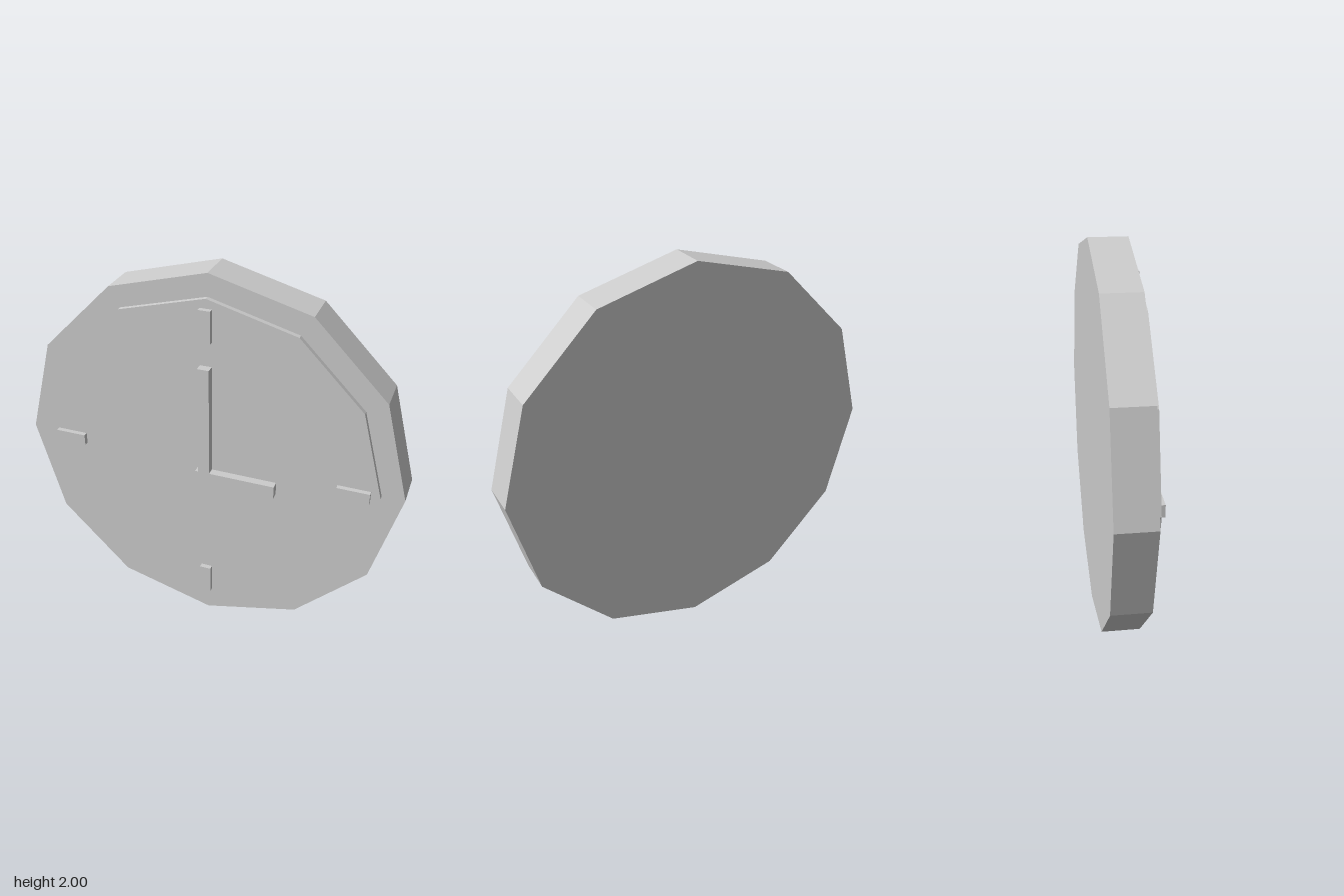
import * as THREE from 'three';

export function createModel() {
  const clock = new THREE.Group();
  clock.name = 'wallClock';
  const grey = new THREE.MeshStandardMaterial({ color: 0xcccccc });
  grey.name = 'light grey';
  grey.flatShading = true;

  const add = (name, geometry, x, y, z) => {
    const mesh = new THREE.Mesh(geometry, grey);
    mesh.name = name;
    mesh.position.set(x, y, z);
    clock.add(mesh);
  };
  // Twelve-sided disc facing +z, between two depths
  const disc = (name, radius, back, front) =>
    add(name, new THREE.CylinderGeometry(radius, radius, front - back, 12).rotateX(Math.PI / 2),
      0, 1, (back + front) / 2);
  // Box between two corners in x and y, and two depths
  const bar = (name, x0, x1, y0, y1, back, front) =>
    add(name, new THREE.BoxGeometry(x1 - x0, y1 - y0, front - back),
      (x0 + x1) / 2, (y0 + y1) / 2, (back + front) / 2);

  // Case and raised dial
  disc('case', 1, -0.13, 0.063);
  disc('dial', 0.887, 0.063, 0.088);

  // Quarter-hour markers
  for (const s of [-1, 1]) {
    const c = s * 0.757;
    bar(s > 0 ? 'markerTwelve' : 'markerSix', -0.03, 0.03, 1 + c - 0.082, 1 + c + 0.082, 0.08, 0.113);
    bar(s > 0 ? 'markerThree' : 'markerNine', c - 0.082, c + 0.082, 0.97, 1.03, 0.08, 0.113);
  }

  // Hands, meeting in an L
  bar('minuteHand', -0.03, 0.03, 0.967, 1.548, 0.08, 0.13);
  bar('hourHand', -0.045, 0.37, 0.9, 0.967, 0.08, 0.13);

  return clock;
}
